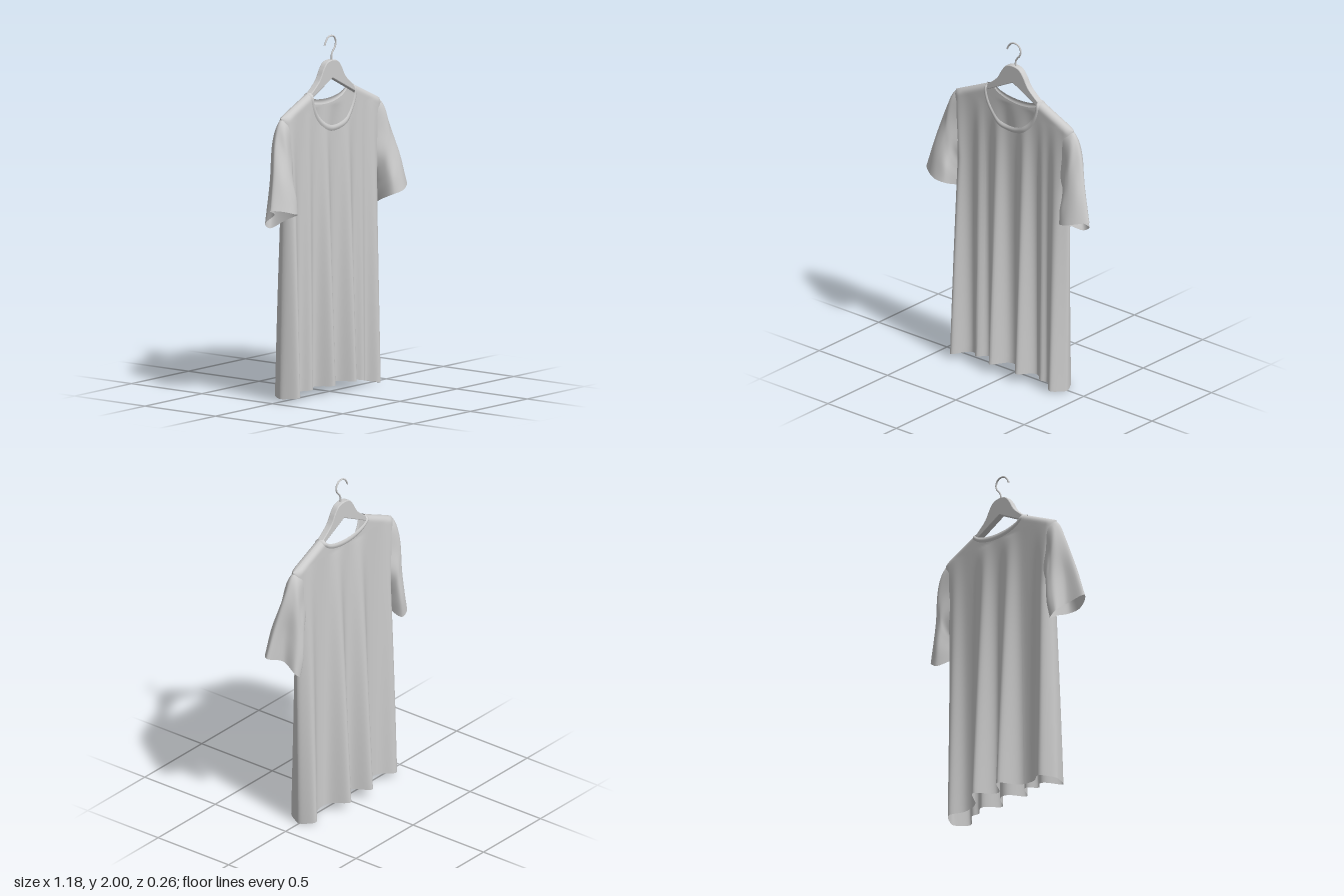
import * as THREE from 'three';
import { mergeVertices } from 'three/addons/utils/BufferGeometryUtils.js';

const clamp = THREE.MathUtils.clamp, lerp = THREE.MathUtils.lerp;
const V = (p) => new THREE.Vector3(...p);
const Z0 = 0.004; // depth of the garment's middle plane

// Smooth surface from a rule fn(i, j) -> [x, y, z]
function grid(nu, nv, fn, flip) {
  const pos = [], idx = [];
  for (let i = 0; i <= nu; i++) for (let j = 0; j <= nv; j++) pos.push(...fn(i, j));
  for (let i = 0; i < nu; i++) for (let j = 0; j < nv; j++) {
    const a = i * (nv + 1) + j, b = a + 1, c = a + nv + 1, d = c + 1;
    if (flip) idx.push(a, c, b, b, c, d);
    else idx.push(a, b, c, b, d, c);
  }
  let g = new THREE.BufferGeometry();
  g.setAttribute('position', new THREE.Float32BufferAttribute(pos, 3));
  g.setIndex(idx);
  g = mergeVertices(g, 1e-5);
  g.computeVertexNormals();
  return g;
}

// Outline rules of the shirt body
const shoulder = (x) => 1.70 + (0.19 - Math.abs(x)) * 0.456;
const hem = (x) => 0.058 - (x > 0 ? 0.39 : 0.21) * x * x;
const halfWidth = (x, y) => {
  if (y > 1.2) return lerp(0.40, 0.43, clamp((y - 1.2) / 0.3, 0, 1));
  return lerp(x > 0 ? 0.382 : 0.435, 0.40, clamp(y / 1.2, 0, 1));
};
const quarterRound = (d) => Math.sqrt(Math.max(0, 1 - (1 - clamp(d, 0, 1)) ** 2));

// Folds at the hem: [centre x, height, width]
const folds = {
  front: { base: 0.012, neck: 0.23, bumps: [[-0.385, 0.085, 0.05], [-0.23, 0.05, 0.035], [-0.09, 0.1, 0.045],
    [0.10, 0.096, 0.045], [0.23, 0.04, 0.03], [0.33, 0.078, 0.05]] },
  back: { base: 0.022, neck: 0.09, bumps: [[-0.37, 0.06, 0.06], [-0.10, 0.115, 0.055],
    [0.09, 0.115, 0.055], [0.33, 0.062, 0.05]] },
};

// Distance of the cloth from the middle plane
function depth(x, y, f) {
  const hang = clamp((1.6 - y) / 1.6, 0, 1) ** 0.8;
  let fold = f.base;
  for (const [c, h, w] of f.bumps) fold += h * Math.exp(-(((x - c) / w) ** 2));
  const z = lerp(0.032, fold, hang);
  return z * quarterRound((shoulder(x) - y) / 0.035) * quarterRound((halfWidth(x, y) - Math.abs(x)) / 0.05);
}

// Columns, denser towards the neck sides and the side seams
function columns() {
  const half = [];
  for (let i = 1; i <= 28; i++) half.push(0.2 * Math.sin((i / 28) * Math.PI / 2));
  for (let i = 1; i <= 36; i++) half.push(0.2 + 0.23 * Math.sin((i / 36) * Math.PI / 2));
  return [...half.map((x) => -x).reverse(), 0, ...half];
}

function bodyPanel(f, side) {
  const cols = columns(), rows = 56;
  return grid(cols.length - 1, rows, (i, j) => {
    const x0 = cols[i], q = x0 / 0.2;
    const neck = Math.abs(q) < 1 ? 1.70 - f.neck * Math.sqrt(1 - q * q) : 9;
    const top = Math.min(shoulder(x0), neck);
    const xEnd = x0 * halfWidth(x0, 0) / 0.43;
    const y = lerp(top, hem(xEnd), (j / rows) ** 1.7);
    const x = x0 * halfWidth(x0, y) / 0.43;
    return [x, y, Z0 + side * depth(x, y, f)];
  }, side < 0);
}

// Ribbed neck band following the neckline
function collarBand(f, side) {
  return grid(64, 8, (i, j) => {
    const a = Math.PI * (1 - i / 64), r = j / 8;
    const x = lerp(0.182, 0.202, r) * Math.cos(a);
    const y = 1.70 - lerp(f.neck - 0.03, f.neck + 0.003, r) * Math.sin(a);
    return [x, y, Z0 + side * (depth(x, y, f) + 0.005 * Math.sin(Math.PI * r))];
  }, side < 0);
}

// Sleeve rings from armhole to cuff: top, front, armpit, back
const sleeveRings = [
  [[.37, 1.61, 0], [.38, 1.56, .028], [.37, 1.42, .033], [.365, 1.28, .033], [.37, 1.2, 0], [.365, 1.28, -.036], [.37, 1.42, -.033], [.38, 1.56, -.028]],
  [[.435, 1.577, 0], [.44, 1.53, .033], [.425, 1.4, .055], [.4, 1.26, .058], [.395, 1.17, 0], [.4, 1.24, -.055], [.425, 1.38, -.05], [.435, 1.53, -.032]],
  [[.485, 1.48, .005], [.475, 1.43, .04], [.45, 1.32, .075], [.41, 1.2, .075], [.405, 1.13, .01], [.41, 1.17, -.06], [.44, 1.27, -.06], [.47, 1.4, -.035]],
  [[.545, 1.27, .035], [.525, 1.26, .075], [.47, 1.2, .105], [.415, 1.14, .1], [.41, 1.07, .01], [.425, 1.07, -.07], [.465, 1.13, -.065], [.49, 1.24, 0]],
  [[.592, 1.1, .055], [.545, 1.095, .105], [.475, 1.075, .13], [.42, 1.06, .11], [.415, 1.02, .02], [.445, .97, -.065], [.49, 1.0, -.065], [.5, 1.06, .01]],
];

function sleeve(s) {
  const around = 56, along = 28;
  const rings = sleeveRings.map((r) => new THREE.CatmullRomCurve3(r.map(V), true));
  const lines = [];
  for (let i = 0; i <= around; i++) {
    lines.push(new THREE.CatmullRomCurve3(rings.map((r) => r.getPoint((i % around) / around))));
  }
  return grid(around, along, (i, j) => {
    const p = lines[i].getPoint(j / along);
    return [s * p.x, p.y, p.z + Z0];
  }, s > 0);
}

// Flat hanger with an arched top and sloping arms
function hangerBody() {
  const top = [[0.41, 1.578], [0.25, 1.655], [0.19, 1.69], [0.125, 1.742], [0.098, 1.775], [0.075, 1.815], [0.045, 1.848]];
  const sh = new THREE.Shape();
  sh.moveTo(0, 1.765);
  sh.lineTo(0.19, 1.668);
  sh.lineTo(0.4, 1.555);
  sh.lineTo(...top[0]);
  sh.lineTo(...top[1]);
  sh.splineThru([...top.slice(2), [0, 1.858], ...top.slice(1).reverse().map(([x, y]) => [-x, y])]
    .map((p) => new THREE.Vector2(...p)));
  sh.lineTo(-0.41, 1.578);
  sh.lineTo(-0.4, 1.555);
  sh.lineTo(-0.19, 1.668);
  sh.closePath();
  const g = new THREE.ExtrudeGeometry(sh, {
    depth: 0.028, bevelEnabled: true, bevelThickness: 0.005, bevelSize: 0.004, bevelSegments: 2, curveSegments: 40,
  });
  return g.translate(0, 0, Z0 - 0.012);
}

function hangerHook() {
  const pts = [[0.01, 1.85], [0.01, 1.888], [0.02, 1.908], [0.04, 1.932], [0.046, 1.96], [0.032, 1.986],
    [0.004, 1.995], [-0.022, 1.988], [-0.04, 1.97], [-0.052, 1.947]];
  const path = new THREE.CatmullRomCurve3(pts.map(([x, y]) => V([x, y, Z0 + 0.004])));
  return new THREE.TubeGeometry(path, 64, 0.005, 10);
}

export function createModel() {
  const cloth = new THREE.MeshStandardMaterial({ color: 0xcccccc, side: THREE.DoubleSide });
  cloth.name = 'lightGrey';
  const model = new THREE.Group();
  model.name = 'shirtOnHanger';
  const add = (name, geometry) => {
    const m = new THREE.Mesh(geometry, cloth);
    m.name = name;
    model.add(m);
  };
  for (const [name, side] of [['front', 1], ['back', -1]]) {
    add(name + 'Panel', bodyPanel(folds[name], side));
    add(name + 'Collar', collarBand(folds[name], side));
  }
  add('leftSleeve', sleeve(1));
  add('rightSleeve', sleeve(-1));
  add('hanger', hangerBody());
  add('hook', hangerHook());
  return model;
}
